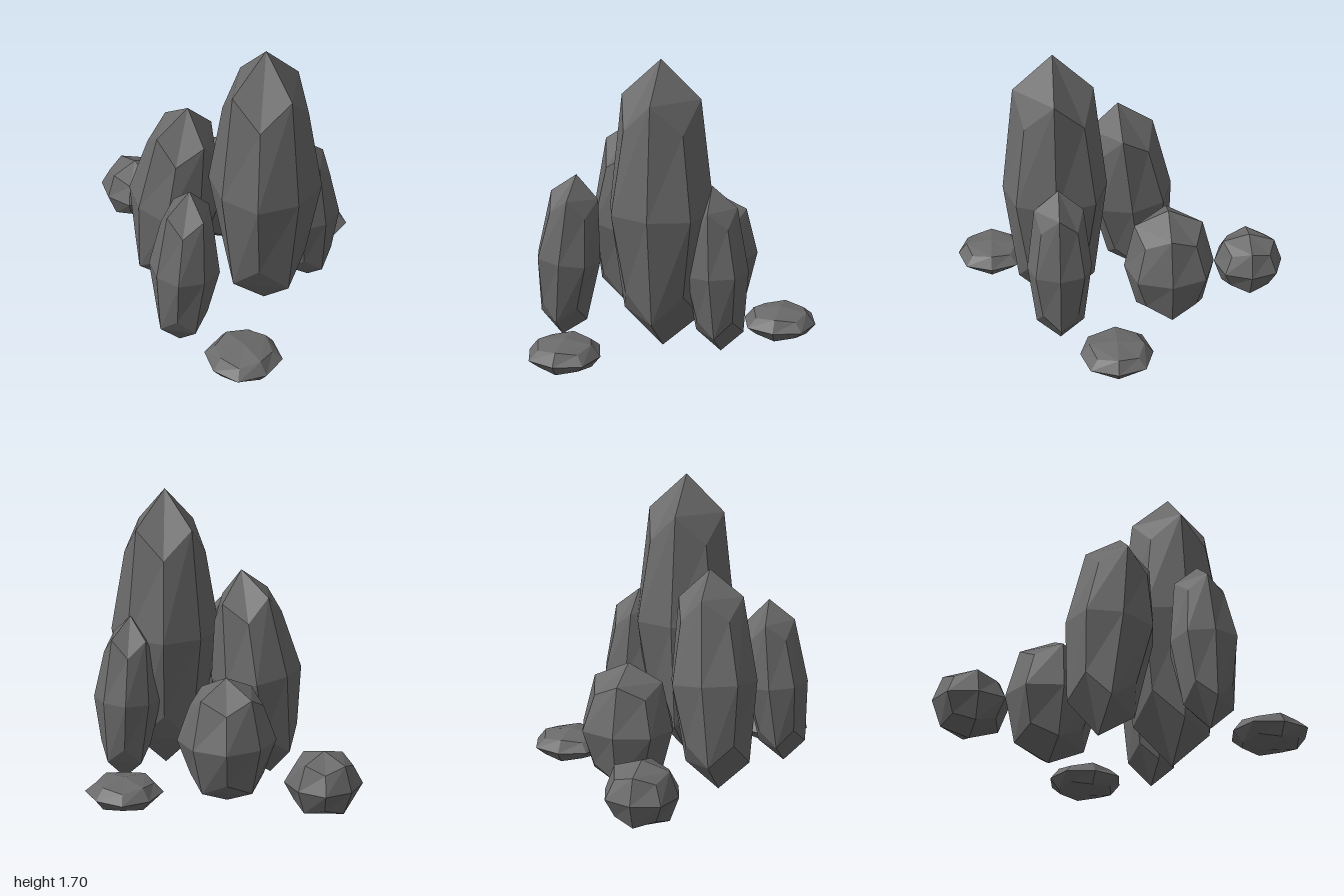
import * as THREE from 'three';

const TWIST = 0.25; // every rock is turned by the same small angle about its axis

// Cube split in four per side and rounded once: centres stay, edges and corners pull in
function rockGeometry() {
  const geometry = new THREE.BoxGeometry(2, 2, 2, 2, 2, 2);
  const p = geometry.attributes.position;
  const pull = [0, 1, 0.75, 5 / 9];
  for (let i = 0; i < p.count; i++) {
    const c = [p.getX(i), p.getY(i), p.getZ(i)];
    const k = pull[c.filter(v => Math.abs(v) > 0.5).length];
    p.setXYZ(i, c[0] * k, c[1] * k, c[2] * k);
  }
  geometry.computeVertexNormals();
  return geometry;
}

export function createModel() {
  const group = new THREE.Group();
  const stone = new THREE.MeshStandardMaterial({ color: 0x6a6a6a, flatShading: true });
  stone.name = 'darkGreyStone';
  const geometry = rockGeometry();

  // A rock from its centre, radius and the half axis reaching from centre to tip
  function addRock(name, centre, radius, halfAxis) {
    const axis = new THREE.Vector3(...halfAxis);
    const mesh = new THREE.Mesh(geometry, stone);
    mesh.name = name;
    mesh.position.set(...centre);
    mesh.scale.set(radius, axis.length(), radius);
    const twist = new THREE.Quaternion().setFromAxisAngle(new THREE.Vector3(0, 1, 0), TWIST);
    mesh.quaternion
      .setFromUnitVectors(new THREE.Vector3(0, 1, 0), axis.normalize())
      .multiply(twist);
    group.add(mesh);
  }

  // Tall pointed rocks
  addRock('mainSpire', [0, 0.86, 0.3], 0.3, [0, 0.84, 0]);
  addRock('leaningSpire', [-0.405, 0.63, -0.065], 0.25, [0.07, 0.617, 0.062]);
  addRock('rightSpire', [-0.54, 0.51, 0.43], 0.187, [0.048, 0.49, -0.02]);
  addRock('leftSpire', [0.3, 0.51, 0.212], 0.184, [-0.027, 0.49, 0.005]);

  // Boulders behind
  addRock('largeBoulder', [-0.026, 0.383, -0.37], 0.264, [0, 0.363, 0.011]);
  addRock('smallBoulder', [-0.395, 0.205, -0.8], 0.206, [0, 0.187, 0]);

  // Flat stones on the ground
  addRock('frontFlatStone', [-0.341, 0.09, 0.794], 0.207, [0, 0.088, 0]);
  addRock('sideFlatStone', [0.518, 0.106, -0.163], 0.209, [0, 0.087, 0]);

  return group;
}
